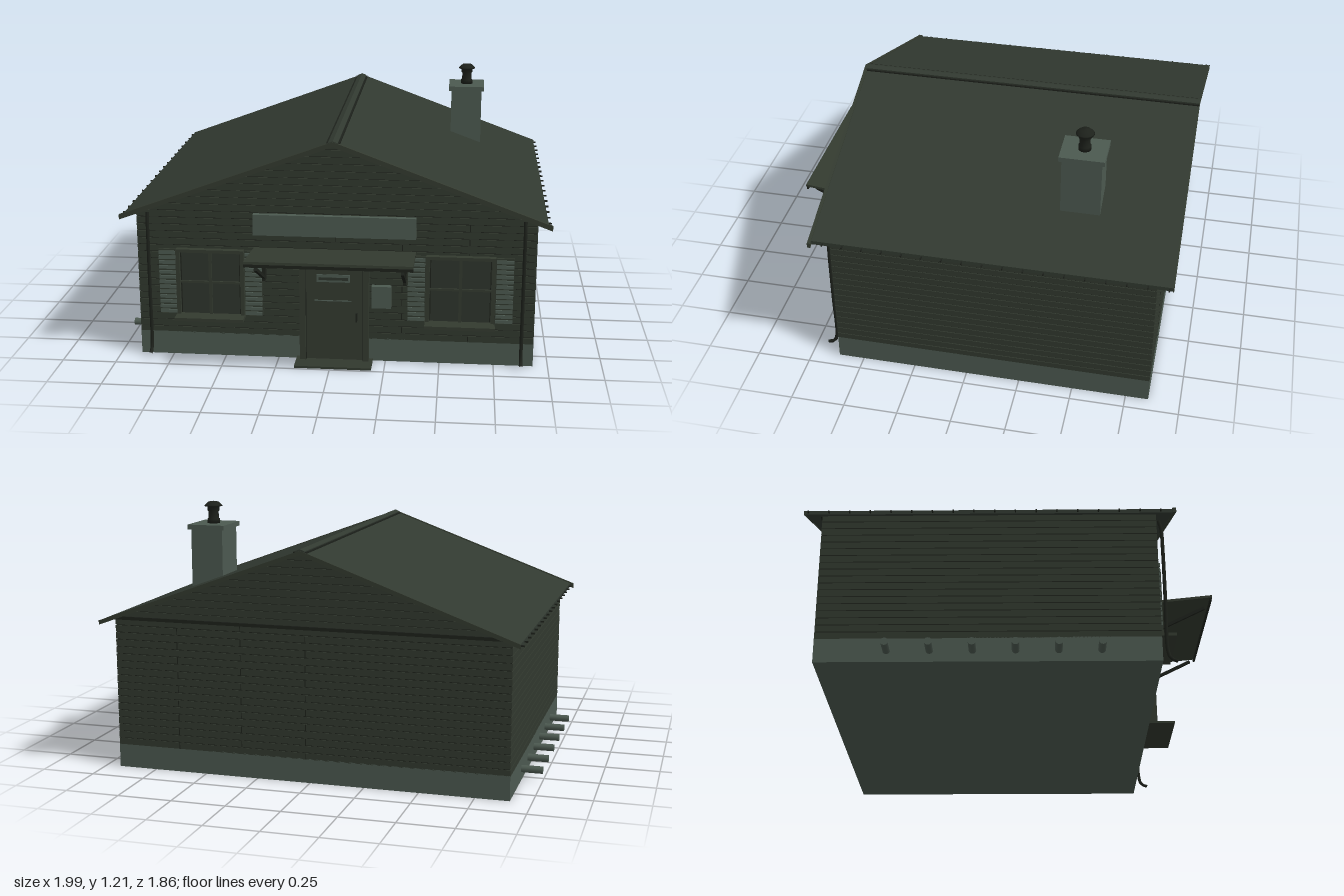
import * as THREE from 'three';

const mat = (name, color) => {
  const m = new THREE.MeshStandardMaterial({ color });
  m.name = name;
  return m;
};

export function createModel() {
  const siding = mat('siding green', 0x31382e);
  const roofing = mat('roof green', 0x313930);
  const stone = mat('grey green masonry', 0x4c5950);
  const dark = mat('dark trim', 0x1d211b);
  const wood = mat('door and window green', 0x333a2f);
  const glass = mat('window pane', 0x2e352c);

  const model = new THREE.Group();
  model.name = 'cabin';
  const house = new THREE.Group();
  house.name = 'house';
  house.position.x = 0.0135;
  model.add(house);

  const add = (name, geo, m, x = 0, y = 0, z = 0, parent = house) => {
    const mesh = new THREE.Mesh(geo, m);
    mesh.name = name;
    mesh.position.set(x, y, z);
    parent.add(mesh);
    return mesh;
  };
  // Box given by its limits on each axis
  const box = (name, m, x0, x1, y0, y1, z0, z1, parent = house) =>
    add(name, new THREE.BoxGeometry(x1 - x0, y1 - y0, z1 - z0), m,
      (x0 + x1) / 2, (y0 + y1) / 2, (z0 + z1) / 2, parent);
  // Outline in x and y, extruded from z0 to z1
  const prism = (name, m, pts, z0, z1) => {
    const shape = new THREE.Shape(pts.map(p => new THREE.Vector2(p[0], p[1])));
    return add(name, new THREE.ExtrudeGeometry(shape, { depth: z1 - z0, bevelEnabled: false }), m, 0, 0, z0);
  };

  const W = 0.918, BACK = -0.855, FRONT = 0.62;
  const SLOPE = 0.369, RIDGE = 1.06;

  // Foundation and wall core
  box('foundation', stone, -W, W, 0, 0.112, BACK, FRONT);
  box('wallCore', dark, -W + 0.004, W - 0.004, 0.1, 0.705, BACK + 0.004, FRONT - 0.004);

  // Horizontal boards running round the walls
  const pitch = 0.0334, boards = 18, base = 0.108;
  for (let i = 0; i < boards; i++) {
    const y = base + i * pitch;
    box('wallBoard', siding, -W, W, y, y + pitch - 0.004, BACK, FRONT);
    // Board joints on front and back
    [0.005, 0.31, 0.615].forEach((x, k) => {
      if ((i + k) % 2) return;
      box('boardJointFront', dark, x - 0.002, x + 0.002, y, y + pitch - 0.004, FRONT, FRONT + 0.001);
      box('boardJointBack', dark, x - 0.002, x + 0.002, y, y + pitch - 0.004, BACK - 0.001, BACK);
    });
  }

  // Gables, boarded up to the roof
  const half = y => (RIDGE - 0.018 - y) / SLOPE;
  prism('gableCore', dark, [[-W + 0.01, 0.704], [W - 0.01, 0.704], [0, 1.04]], BACK + 0.004, FRONT - 0.004);
  for (let y = 0.709; y < 1.03; y += pitch) {
    const top = Math.min(y + pitch - 0.003, 1.041);
    prism('gableBoard', siding, [[-half(y), y], [half(y), y], [half(top), top], [-half(top), top]], BACK, FRONT);
  }
  box('backGableRail', dark, -W, W, 0.7, 0.715, BACK - 0.008, BACK);

  // Roof, bargeboards and ridge cap
  const chevron = (w, top, t) => [[-w, top - w * SLOPE], [-w, top - t - w * SLOPE], [0, top - t],
    [w, top - t - w * SLOPE], [w, top - w * SLOPE], [0, top]];
  prism('roof', roofing, chevron(0.96, RIDGE, 0.018), -0.925, 0.69);
  prism('frontBargeboard', wood, chevron(0.978, RIDGE + 0.004, 0.023), 0.688, 0.703);
  prism('backBargeboard', wood, chevron(0.962, RIDGE + 0.001, 0.02), -0.93, -0.924);
  prism('ridgeCap', roofing, chevron(0.022, RIDGE + 0.007, 0.01), -0.928, 0.7);
  for (const s of [-1, 1]) {
    box('ridgeEdge', dark, s * 0.026 - 0.005, s * 0.026 + 0.005, RIDGE - 0.014, RIDGE - 0.005, -0.926, 0.69);
    // Small clips along the eaves
    for (let i = 0; i < 18; i++) {
      const z = -0.91 + i * 0.091;
      box('eaveClip', dark, s * 0.965 - 0.01, s * 0.965 + 0.01, 0.693, 0.7, z - 0.003, z + 0.003);
    }
  }

  // Chimney with capped flue
  const chimney = new THREE.Group();
  chimney.name = 'chimney';
  chimney.position.set(0.582, 0, -0.472);
  house.add(chimney);
  box('chimneyStack', stone, -0.077, 0.077, 0.78, 1.09, -0.09, 0.09, chimney);
  box('chimneySlab', stone, -0.09, 0.09, 1.088, 1.11, -0.102, 0.102, chimney);
  const flue = [[0, 1.11], [0.029, 1.11], [0.029, 1.13], [0.024, 1.135], [0.024, 1.165], [0.029, 1.17],
    [0.029, 1.188], [0.042, 1.19], [0.04, 1.196], [0.024, 1.21], [0, 1.214]];
  const flueGeo = new THREE.LatheGeometry(flue.map(p => new THREE.Vector2(p[0], p[1])), 16);
  add('flue', flueGeo, dark, 0, 0, 0, chimney);

  // Blank sign board
  box('signBoard', stone, -0.373, 0.372, 0.605, 0.703, FRONT, 0.647);

  // Door canopy on two braces
  const canopy = box('canopy', wood, -0.372, 0.372, -0.006, 0.006, -0.153, 0.153);
  canopy.position.set(0, 0.55, 0.773);
  canopy.rotation.x = -0.105;
  box('canopyFrontRail', dark, -0.372, 0.372, 0.545, 0.56, 0.914, 0.923);
  box('canopyWallRail', dark, -0.372, 0.372, 0.522, 0.538, FRONT, 0.645);
  for (const s of [-1, 1]) {
    const bar = box('canopyBrace', dark, -0.007, 0.007, -0.007, 0.007, -0.134, 0.134);
    bar.position.set(s * 0.324, 0.466, 0.77);
    bar.rotation.x = -0.464;
    box('braceWallBar', dark, s * 0.324 - 0.007, s * 0.324 + 0.007, 0.39, 0.535, FRONT, 0.66);
  }

  // Door, frame, fittings and step
  box('doorStep', siding, -0.178, 0.178, 0, 0.01, FRONT, 0.74);
  for (const s of [-1, 1])
    box('doorJamb', wood, s * 0.146 - 0.014, s * 0.146 + 0.014, 0.01, 0.486, FRONT, 0.66);
  box('doorLintel', wood, -0.16, 0.16, 0.46, 0.486, FRONT, 0.66);
  box('doorLeaf', wood, -0.13, 0.13, 0.012, 0.458, FRONT, 0.648);
  for (const s of [-1, 1])
    box('doorGap', dark, s * 0.131 - 0.002, s * 0.131 + 0.002, 0.01, 0.46, FRONT, 0.65);
  box('doorGapTop', dark, -0.13, 0.13, 0.457, 0.461, FRONT, 0.65);
  box('doorPlate', stone, -0.08, 0.072, 0.392, 0.428, 0.648, 0.653);
  box('doorPlateFace', glass, -0.072, 0.064, 0.402, 0.415, 0.653, 0.655);
  box('doorRail', stone, -0.09, 0.08, 0.299, 0.303, 0.648, 0.653);
  box('doorHandle', dark, 0.1, 0.107, 0.205, 0.245, 0.648, 0.665);

  // Wall box beside the door
  box('wallBox', stone, 0.172, 0.262, 0.27, 0.375, FRONT, 0.648);

  // Windows with louvred shutters
  for (const s of [-1, 1]) {
    const win = new THREE.Group();
    win.name = s < 0 ? 'rightWindow' : 'leftWindow';
    win.position.x = s * 0.577;
    house.add(win);
    box('pane', glass, -0.15, 0.15, 0.21, 0.52, FRONT, 0.63, win);
    box('mullion', wood, -0.007, 0.007, 0.21, 0.52, 0.63, 0.64, win);
    box('glazingBar', wood, -0.15, 0.15, 0.362, 0.372, 0.63, 0.638, win);
    box('windowHead', wood, -0.158, 0.158, 0.512, 0.527, FRONT, 0.648, win);
    box('windowSill', wood, -0.16, 0.16, 0.197, 0.212, FRONT, 0.705, win);
    for (const t of [-1, 1]) {
      box('windowJamb', wood, t * 0.15 - 0.009, t * 0.15 + 0.009, 0.21, 0.52, FRONT, 0.648, win);
      box('sash', dark, t * 0.137 - 0.002, t * 0.137 + 0.002, 0.215, 0.512, 0.63, 0.634, win);
      box('shutterBack', siding, t * 0.201 - 0.041, t * 0.201 + 0.041, 0.21, 0.522, FRONT, 0.63, win);
      for (let i = 0; i < 13; i++) {
        const y = 0.212 + i * 0.0239;
        box('shutterSlat', stone, t * 0.201 - 0.039, t * 0.201 + 0.039, y, y + 0.015, 0.63, 0.637, win);
      }
    }
  }

  // Downspouts with outward kick at the foot
  const path = new THREE.CatmullRomCurve3([[0.7, 0.635], [0.66, 0.645], [0.55, 0.648], [0.3, 0.648],
    [0.07, 0.648], [0.035, 0.66], [0.022, 0.69]].map(p => new THREE.Vector3(0, p[0], p[1])));
  const spout = new THREE.TubeGeometry(path, 32, 0.008, 8);
  const spoutMat = dark;
  for (const s of [-1, 1]) add('downspout', spout, spoutMat, s * 0.861);

  // Row of pipes through the right side of the foundation
  const pipe = new THREE.CylinderGeometry(0.017, 0.017, 0.11, 12).rotateZ(Math.PI / 2);
  for (let i = 0; i < 6; i++) add('drainPipe', pipe, stone, -0.945, 0.053, -0.545 + i * 0.182, model);

  return model;
}
